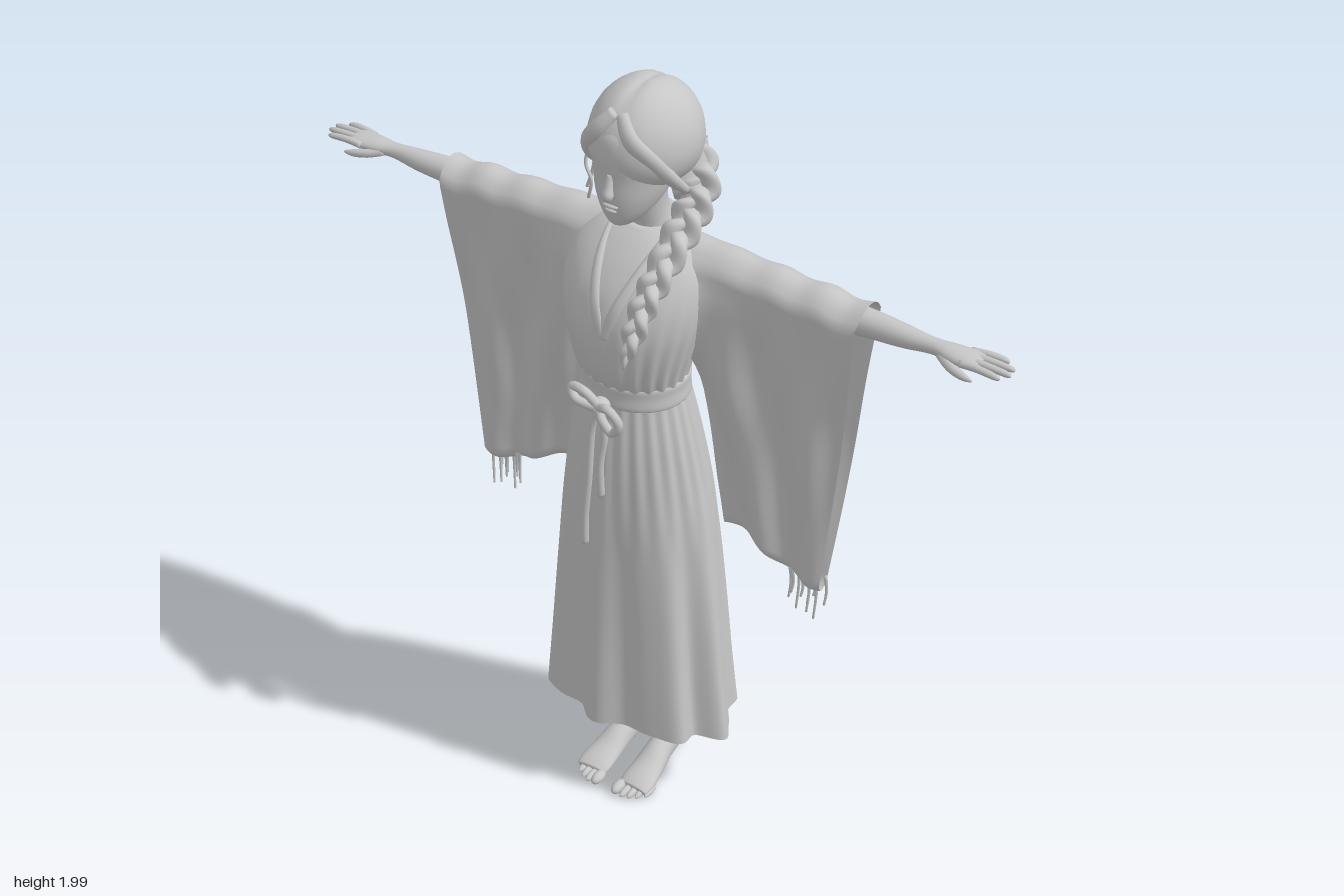
import * as THREE from 'three';

const grey = new THREE.MeshStandardMaterial({ name: 'clay grey', color: 0xc6c6c6, side: THREE.DoubleSide });
const V = (x, y, z) => new THREE.Vector3(x, y, z);
const TAU = Math.PI * 2;
const { lerp, smoothstep } = THREE.MathUtils;

// Smooth interpolation through rows of numbers, t in 0..1
function sample(rows, t) {
  const f = Math.min(t, 0.99999) * (rows.length - 1), i = Math.floor(f), k = f - i;
  const at = (n) => rows[Math.max(0, Math.min(rows.length - 1, n))];
  return rows[0].map((_, c) => {
    const [a, b, d, e] = [at(i - 1)[c], at(i)[c], at(i + 1)[c], at(i + 2)[c]];
    return b + 0.5 * k * (d - a + k * (2 * a - 5 * b + 4 * d - e + k * (3 * (b - d) + e - a)));
  });
}

// Skin over closed rings of points
function loft(name, rings, capped = true) {
  const m = rings[0].length, n = rings.length, pos = [], idx = [];
  rings.forEach((r) => r.forEach((p) => pos.push(p.x, p.y, p.z)));
  for (let i = 0; i < n - 1; i++) for (let j = 0; j < m; j++) {
    const a = i * m + j, b = i * m + (j + 1) % m;
    idx.push(a, b, a + m, b, b + m, a + m);
  }
  if (capped) [0, n - 1].forEach((i, end) => {
    const c = rings[i].reduce((s, p) => s.add(p), V(0, 0, 0)).divideScalar(m), ci = pos.length / 3;
    pos.push(c.x, c.y, c.z);
    for (let j = 0; j < m; j++) {
      const a = i * m + j, b = i * m + (j + 1) % m;
      idx.push(...(end ? [ci, a, b] : [ci, b, a]));
    }
  });
  const g = new THREE.BufferGeometry();
  g.setAttribute('position', new THREE.Float32BufferAttribute(pos, 3));
  g.setIndex(idx);
  g.computeVertexNormals();
  const mesh = new THREE.Mesh(g, grey);
  mesh.name = name;
  return mesh;
}

// Horizontal ellipses stacked upwards: rows of y, half width, front z, back z, fold depth
function stack(name, rows, n, m, fold = () => 0, lift = () => 0, capped = true) {
  const rings = [];
  for (let i = 0; i <= n; i++) {
    const [y, rx, zf, zb, amp] = sample(rows, i / n);
    rings.push(Array.from({ length: m }, (_, j) => {
      const a = j / m * TAU, k = 1 + amp * fold(a, y);
      return V(Math.sin(a) * rx * k, y + lift(a, y), (zf + zb) / 2 + Math.cos(a) * (zf - zb) / 2 * k);
    }));
  }
  return loft(name, rings, capped);
}

// Limb along a path: rows of x, y, z, half width, half height
function limb(name, rows, up = V(0, 0, 1), n = 20, m = 14, shift) {
  const rings = [];
  for (let i = 0; i <= n; i++) {
    const t = i / n, [x, y, z, ra, rb] = sample(rows, t);
    const p = sample(rows, Math.max(0, t - 0.01)), q = sample(rows, Math.min(1, t + 0.01));
    const T = V(q[0] - p[0], q[1] - p[1], q[2] - p[2]).normalize();
    const A = up.clone().cross(T).normalize(), B = T.clone().cross(A), c = V(x, y, z);
    const [sa, sb, sr] = shift ? shift(t) : [0, 0, 1];
    c.addScaledVector(A, sa * ra).addScaledVector(B, sb * rb);
    rings.push(Array.from({ length: m }, (_, j) => c.clone()
      .addScaledVector(A, Math.cos(j / m * TAU) * ra * sr).addScaledVector(B, Math.sin(j / m * TAU) * rb * sr)));
  }
  return loft(name, rings);
}

function ball(name, x, y, z, rx, ry, rz) {
  const mesh = new THREE.Mesh(new THREE.SphereGeometry(1, 32, 24), grey);
  mesh.name = name;
  mesh.position.set(x, y, z);
  mesh.scale.set(rx, ry, rz);
  return mesh;
}

// Hanging kimono sleeve, pinched along the lower edge and open at the cuff
function sleeve() {
  const inner = [[0.06], [0.125], [0.15], [0.175], [0.195], [0.215]], rings = [];
  for (let i = 0; i <= 44; i++) {
    const u = i / 44, top = 1.628 - 0.025 * u + 0.006 * Math.sin(u * 26) * u;
    const bottom = lerp(0.855, 0.765, smoothstep(u, 0, 0.9));
    rings.push(Array.from({ length: 72 }, (_, j) => {
      const a = j / 72 * TAU, t = (1 - Math.cos(a)) / 2, side = Math.sin(a) >= 0 ? 1 : -1;
      const x = lerp(sample(inner, t)[0], lerp(0.56, 0.485, t), u);
      let w = lerp(0.064, 0.018, Math.pow(t, 0.7)) * Math.min(1, Math.sqrt(t / 0.05));
      w *= Math.min(1, Math.sqrt((1 - t) / 0.03)) * lerp(1, smoothstep(u, -0.05, 0.15), smoothstep(t, 0.25, 0.5));
      const drape = Math.sin(u * 13 - t * 4) * 0.011 * smoothstep(t, 0.08, 0.5);
      const crease = side * 0.005 * Math.sin(u * 21 + t * 7) * smoothstep(t, 0.03, 0.3) * (1 - t);
      const chest = side > 0 ? 0.07 * Math.pow(1 - u, 4) * smoothstep(t, 0.02, 0.16) * (1 - t) : 0;
      return V(x, lerp(top, bottom, t), -0.046 + side * w + drape + crease + chest);
    }));
  }
  return loft('sleeve', rings, false);
}

// Everything that exists once on each side, modelled on +x
function sidePart(name) {
  const g = new THREE.Group(), Y = V(0, 1, 0);
  g.name = name;
  g.add(sleeve());
  g.add(limb('arm', [[0.2, 1.55, -0.045, 0.045, 0.045], [0.4, 1.555, -0.045, 0.04, 0.04], [0.56, 1.562, -0.043, 0.033, 0.032],
    [0.65, 1.566, -0.038, 0.027, 0.026], [0.72, 1.57, -0.035, 0.02, 0.018], [0.77, 1.572, -0.032, 0.029, 0.017],
    [0.82, 1.573, -0.032, 0.034, 0.013], [0.84, 1.573, -0.032, 0.028, 0.008]], Y, 36, 20));
  [0.885, 0.908, 0.91, 0.895].forEach((tip, i) => {
    const z = -0.059 + i * 0.018, zt = -0.066 + i * 0.022;
    g.add(limb('finger', [[0.8, 1.573, z, 0.009, 0.009], [0.84, 1.577, (z + zt) / 2, 0.0085, 0.0085],
      [tip - 0.012, 1.575, zt, 0.0075, 0.007], [tip, 1.572, zt, 0.003, 0.003]], Y, 10, 8));
  });
  g.add(limb('thumb', [[0.745, 1.567, -0.02, 0.01, 0.011], [0.78, 1.56, 0.0, 0.011, 0.011],
    [0.815, 1.555, 0.01, 0.009, 0.009], [0.838, 1.553, 0.013, 0.003, 0.003]], Y, 12, 8));
  for (let i = 0; i < 9; i++) {
    const x = 0.395 + i * 0.011 + 0.004 * Math.sin(i * 5), low = 0.70 + 0.028 * Math.sin(i * 2.4), z = -0.045 + 0.012 * Math.sin(i * 3);
    g.add(limb('fringe', [[x, 0.80, z, 0.005, 0.005], [x + 0.003, 0.75, z - 0.004, 0.004, 0.004], [x, low, z, 0.003, 0.003]], undefined, 6, 6));
  }
  // Bare leg and foot
  g.add(limb('leg', [[0.058, 0.045, -0.068, 0.03, 0.036], [0.057, 0.1, -0.064, 0.028, 0.036], [0.06, 0.17, -0.064, 0.031, 0.038],
    [0.066, 0.3, -0.062, 0.042, 0.05], [0.07, 0.5, -0.04, 0.047, 0.052], [0.075, 0.85, -0.01, 0.065, 0.07]], undefined, 24, 18));
  g.add(limb('foot', [[0.055, 0.035, -0.112, 0.014, 0.02], [0.055, 0.042, -0.098, 0.029, 0.037], [0.056, 0.052, -0.05, 0.032, 0.047],
    [0.059, 0.046, 0.0, 0.034, 0.041], [0.063, 0.031, 0.06, 0.041, 0.027], [0.065, 0.022, 0.11, 0.045, 0.018],
    [0.064, 0.017, 0.135, 0.04, 0.011]], Y, 24, 20));
  for (let i = 0; i < 5; i++) {
    const r = i ? 0.0105 - i * 0.0006 : 0.0145;
    g.add(ball('toe', i ? 0.035 + i * 0.0175 : 0.031, r + 0.003, 0.15 - i * i * 0.0023, r, r, 0.026));
  }
  // Collar edge from nape to breastbone
  g.add(limb('collar', [[0, 1.645, -0.105, 0.008, 0.014], [0.055, 1.647, -0.07, 0.008, 0.014], [0.068, 1.628, 0.0, 0.009, 0.013],
    [0.055, 1.575, 0.083, 0.012, 0.009], [0.03, 1.5, 0.14, 0.014, 0.007], [0.002, 1.42, 0.157, 0.013, 0.006]], V(0.2, 0.4, 1).normalize(), 30, 10));
  return g;
}

export function createModel() {
  const model = new THREE.Group();
  model.name = 'robed woman';
  const left = sidePart('left side'), right = sidePart('right side');
  right.scale.x = -1;
  model.add(left, right);

  // Skirt with broad hem lobes that become fine gathers at the waist
  const skirtFold = (a, y) => lerp(0.75 * Math.cos(8 * a + 0.5) + 0.3 * Math.cos(13 * a + 1), Math.cos(26 * a), smoothstep(y, 0.75, 1.2));
  const hem = (a, y) => 0.055 * (1 - smoothstep(y, 0.2, 0.6)) * Math.max(0, Math.cos(a));
  model.add(stack('skirt', [[0.2, 0.252, 0.172, -0.188, 0.095], [0.38, 0.236, 0.168, -0.176, 0.085], [0.56, 0.222, 0.164, -0.168, 0.07],
    [0.74, 0.206, 0.161, -0.16, 0.05], [0.92, 0.188, 0.156, -0.146, 0.03], [1.1, 0.16, 0.144, -0.115, 0.02],
    [1.26, 0.125, 0.122, -0.083, 0.015]], 50, 144, skirtFold, hem, false));

  // Bodice, gathered above the sash
  model.add(stack('bodice', [[1.24, 0.123, 0.122, -0.08, 0.018], [1.3, 0.138, 0.148, -0.088, 0.022], [1.37, 0.158, 0.16, -0.1, 0.016],
    [1.44, 0.175, 0.158, -0.112, 0.008], [1.51, 0.18, 0.136, -0.12, 0.003], [1.57, 0.168, 0.095, -0.122, 0],
    [1.615, 0.125, 0.05, -0.117, 0], [1.64, 0.07, 0.015, -0.1, 0]], 36, 120, (a) => Math.cos(24 * a)));

  // Sash, bow and hanging cords
  model.add(stack('sash', [[1.215, 0.128, 0.132, -0.088, 0], [1.222, 0.136, 0.14, -0.096, 0], [1.25, 0.134, 0.138, -0.095, 0],
    [1.275, 0.135, 0.139, -0.096, 0], [1.282, 0.127, 0.131, -0.088, 0]], 12, 64));
  model.add(ball('knot', -0.005, 1.232, 0.158, 0.024, 0.02, 0.022));
  const cord = (name, pts, r = 0.009) => model.add(limb(name, pts.map((p) => [...p, r, r]), undefined, 24, 8));
  cord('bowLoop', [[0, 1.23, 0.165], [-0.035, 1.268, 0.175], [-0.078, 1.262, 0.165], [-0.06, 1.238, 0.175], [-0.005, 1.23, 0.17]], 0.011);
  cord('bowLoop', [[0, 1.235, 0.17], [0.035, 1.25, 0.185], [0.06, 1.215, 0.18], [0.04, 1.185, 0.18], [0.012, 1.21, 0.178], [0, 1.23, 0.17]], 0.011);
  cord('sashCord', [[-0.005, 1.225, 0.165], [-0.026, 1.16, 0.162], [-0.032, 1.02, 0.17], [-0.042, 0.9, 0.173], [-0.042, 0.82, 0.174]]);
  cord('sashCord', [[0, 1.225, 0.165], [0.008, 1.15, 0.162], [0.0, 1.07, 0.168], [0.003, 0.98, 0.17]]);

  // Neck and head
  model.add(limb('neck', [[0, 1.58, -0.055, 0.075, 0.055], [0, 1.64, -0.042, 0.053, 0.05], [0, 1.69, -0.03, 0.045, 0.046],
    [0, 1.78, -0.02, 0.05, 0.052]], undefined, 14, 24));
  model.add(stack('face', [[1.684, 0.012, 0.09, 0.05, 0], [1.695, 0.034, 0.106, 0.015, 0], [1.725, 0.06, 0.117, -0.03, 0],
    [1.765, 0.08, 0.122, -0.07, 0], [1.81, 0.092, 0.121, -0.1, 0], [1.86, 0.097, 0.124, -0.11, 0],
    [1.91, 0.09, 0.115, -0.1, 0], [1.95, 0.06, 0.075, -0.06, 0]], 30, 40));
  model.add(limb('nose', [[0, 1.825, 0.116, 0.008, 0.007], [0, 1.795, 0.124, 0.01, 0.011], [0, 1.776, 0.128, 0.013, 0.014],
    [0, 1.766, 0.122, 0.007, 0.005]], undefined, 12, 12));
  model.add(ball('upperLip', 0, 1.747, 0.118, 0.02, 0.006, 0.008), ball('lowerLip', 0, 1.735, 0.116, 0.016, 0.006, 0.008));

  // Hair with a centre parting, swept to the nape
  const hair = ball('hair', 0, 0, 0, 1, 1, 1), hp = hair.geometry.attributes.position;
  for (let i = 0; i < hp.count; i++) {
    const x = hp.getX(i), y = hp.getY(i), z = hp.getZ(i);
    const part = y > 0 ? 0.006 * Math.exp(-x * x * 90) : 0;
    const back = smoothstep(-z, -0.1, 0.8);
    hp.setXYZ(i, x * 0.125 + 0.004, 1.862 + y * (y > 0 ? 0.138 : 0.115 + 0.04 * back) - part, -0.017 + z * (z > 0 ? 0.141 : 0.138));
  }
  hair.geometry.computeVertexNormals();
  model.add(hair);
  for (const s of [-1, 1]) model.add(limb('fringeHair', [[s * 0.01, 1.96, 0.085, 0.014, 0.012], [s * 0.045, 1.915, 0.105, 0.02, 0.014],
    [s * 0.085, 1.86, 0.075, 0.02, 0.016], [s * 0.106, 1.8, 0.03, 0.017, 0.014], [s * 0.1, 1.75, -0.025, 0.012, 0.01]], V(0, 0.3, 1), 20, 12));
  model.add(limb('napeHair', [[0, 1.86, -0.095, 0.07, 0.05], [0.02, 1.8, -0.115, 0.075, 0.05], [0.055, 1.745, -0.11, 0.055, 0.05],
    [0.085, 1.7, -0.075, 0.038, 0.04]], undefined, 18, 20));

  // Three woven strands of the braid over the left shoulder
  const path = [[0.04, 1.79, -0.125, 0.042, 0.036], [0.09, 1.745, -0.1, 0.042, 0.036], [0.108, 1.695, -0.05, 0.04, 0.034],
    [0.11, 1.65, 0.015, 0.037, 0.03], [0.106, 1.59, 0.085, 0.033, 0.026], [0.098, 1.53, 0.135, 0.029, 0.024],
    [0.09, 1.46, 0.17, 0.024, 0.02], [0.078, 1.39, 0.19, 0.006, 0.005]];
  for (let s = 0; s < 3; s++) model.add(limb('braidStrand', path, V(0, 0.5, 1).normalize(), 90, 12, (t) => {
    const f = t * TAU * 3.2 + s * TAU / 3;
    return [0.6 * Math.sin(f), 0.45 * Math.sin(2 * f), 0.6];
  }));
  // Loose wisps by the right cheek
  cord('wisp', [[-0.108, 1.84, 0.03], [-0.118, 1.78, 0.04], [-0.1, 1.74, 0.045], [-0.112, 1.69, 0.04]], 0.004);
  cord('wisp', [[-0.105, 1.83, 0.02], [-0.104, 1.77, 0.03], [-0.122, 1.71, 0.03]], 0.004);
  return model;
}
